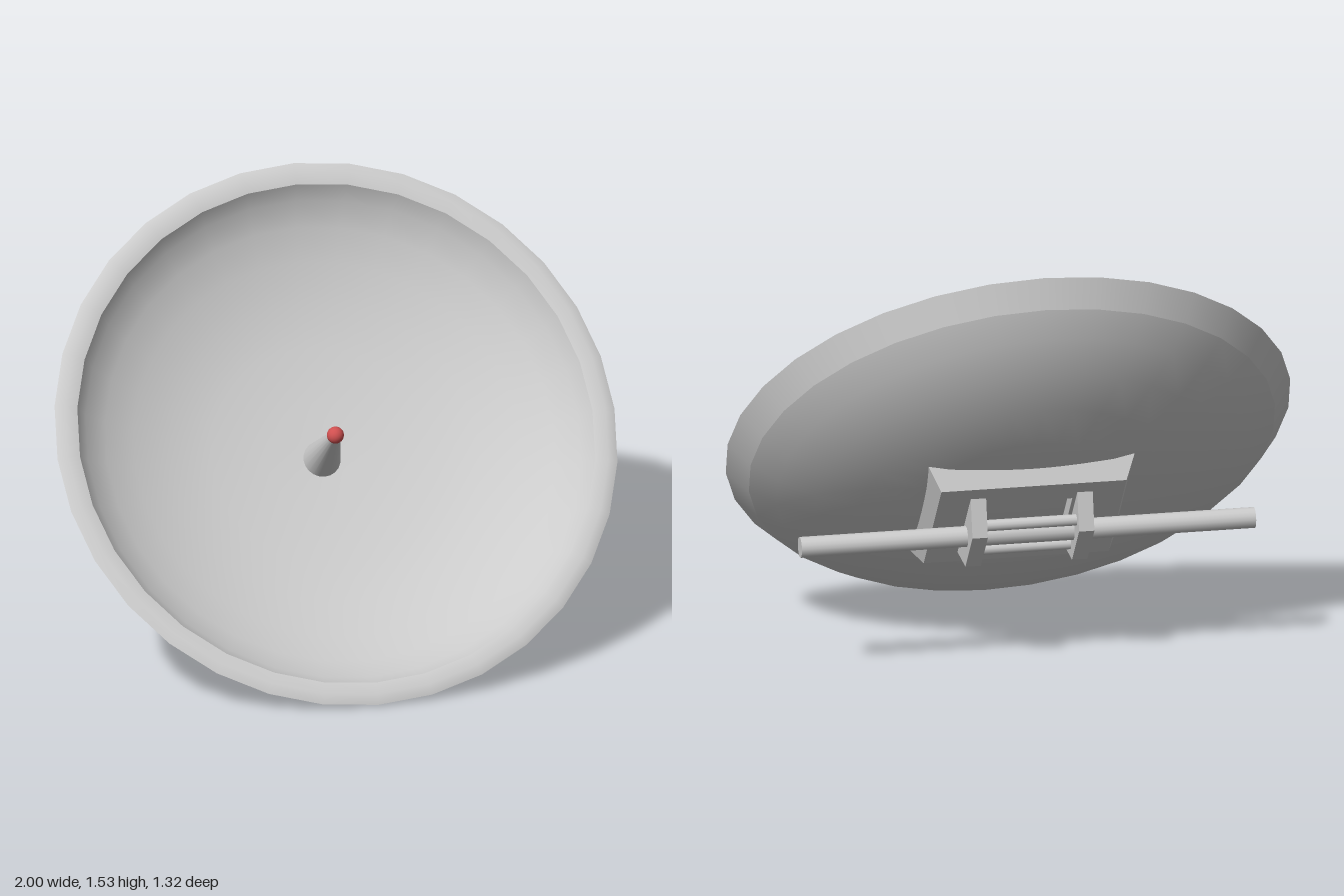
import * as THREE from 'three';

const grey = () => new THREE.MeshStandardMaterial({ color: 0xcccccc });

function part(parent, name, geometry, material = grey()) {
  const mesh = new THREE.Mesh(geometry, material);
  mesh.name = name;
  parent.add(mesh);
  return mesh;
}

// Revolve [radius, height] points about the dish axis (local z)
function revolve(points, segments = 32) {
  const profile = points.map(([r, h]) => new THREE.Vector2(r, h));
  return new THREE.LatheGeometry(profile, segments).rotateX(Math.PI / 2);
}

function rect(Type, w, h) {
  const p = new Type();
  p.moveTo(-w, -h);
  p.lineTo(w, -h);
  p.lineTo(w, h);
  p.lineTo(-w, h);
  p.closePath();
  return p;
}

// Cylinder lying along x
function rod(radius, length, sides) {
  return new THREE.CylinderGeometry(radius, radius, length, sides).rotateZ(Math.PI / 2);
}

export function createModel() {
  const model = new THREE.Group();
  model.name = 'dishAntenna';

  // Everything is built facing local z, then tilted up to the sky
  const dish = new THREE.Group();
  dish.name = 'tiltedDish';
  dish.rotation.x = -THREE.MathUtils.degToRad(40.3);
  dish.position.set(0, 0.77, 0.015);
  model.add(dish);

  // Bowl: back shell, rim bands and reflecting face, split where edges are sharp
  part(dish, 'backShell', revolve([
    [0, -0.35], [0.22, -0.341], [0.4, -0.321], [0.57, -0.284],
    [0.719, -0.229], [0.845, -0.161], [0.932, -0.09],
  ]));
  part(dish, 'rimEdge', revolve([[0.932, -0.09], [1, 0]]));
  part(dish, 'rimFace', revolve([[1, 0], [0.965, 0.015], [0.92, 0.005]]));
  part(dish, 'reflector', revolve([
    [0.92, 0.005], [0.88, -0.055], [0.8, -0.115], [0.69, -0.17],
    [0.55, -0.22], [0.4, -0.253], [0.2, -0.275], [0, -0.28],
  ]));

  // Feed horn with a ball at its tip
  const horn = part(dish, 'feedHorn',
    new THREE.CylinderGeometry(0.018, 0.07, 0.29, 20).rotateX(Math.PI / 2));
  horn.position.z = -0.155;
  const tip = part(dish, 'feedTip', new THREE.SphereGeometry(0.03, 20, 14),
    new THREE.MeshStandardMaterial({ color: 0xd05050 }));
  tip.position.z = -0.012;

  // Mounting frame: a plate with a square opening, its outer edge tapering to the back
  const frameShape = rect(THREE.Shape, 0.375, 0.285);
  frameShape.holes.push(rect(THREE.Path, 0.15, 0.14));
  const frameGeo = new THREE.ExtrudeGeometry(frameShape, { depth: 0.102, bevelEnabled: false });
  const pos = frameGeo.attributes.position;
  for (let i = 0; i < pos.count; i++) {
    if (pos.getZ(i) < 0.01 && Math.abs(pos.getX(i)) > 0.3) {
      pos.setX(i, pos.getX(i) - Math.sign(pos.getX(i)) * 0.045);
      pos.setY(i, pos.getY(i) - Math.sign(pos.getY(i)) * 0.045);
    }
  }
  frameGeo.computeVertexNormals();
  part(dish, 'mountFrame', frameGeo).position.z = -0.392;

  // Two trapezoid brackets, drawn in the (z, y) plane and extruded along x
  const bracketShape = new THREE.Shape([
    [0.35, -0.21], [0.39, -0.18], [0.503, -0.095],
    [0.503, 0.095], [0.39, 0.18], [0.35, 0.21],
  ].map(([z, y]) => new THREE.Vector2(z, y)));
  for (const side of [-1, 1]) {
    const geo = new THREE.ExtrudeGeometry(bracketShape, { depth: 0.055, bevelEnabled: false });
    geo.translate(0, 0, -0.0275).rotateY(Math.PI / 2);
    const bracket = part(dish, side > 0 ? 'leftBracket' : 'rightBracket', geo);
    bracket.position.x = side * 0.19;
  }

  // Pivot bar through the brackets, with a thin tie rod on either side
  part(dish, 'pivotBar', rod(0.037, 1.62, 16)).position.z = -0.436;
  for (const side of [-1, 1]) {
    part(dish, 'tieRod', rod(0.02, 0.36, 12)).position.set(0, side * 0.08, -0.445);
  }

  return model;
}
